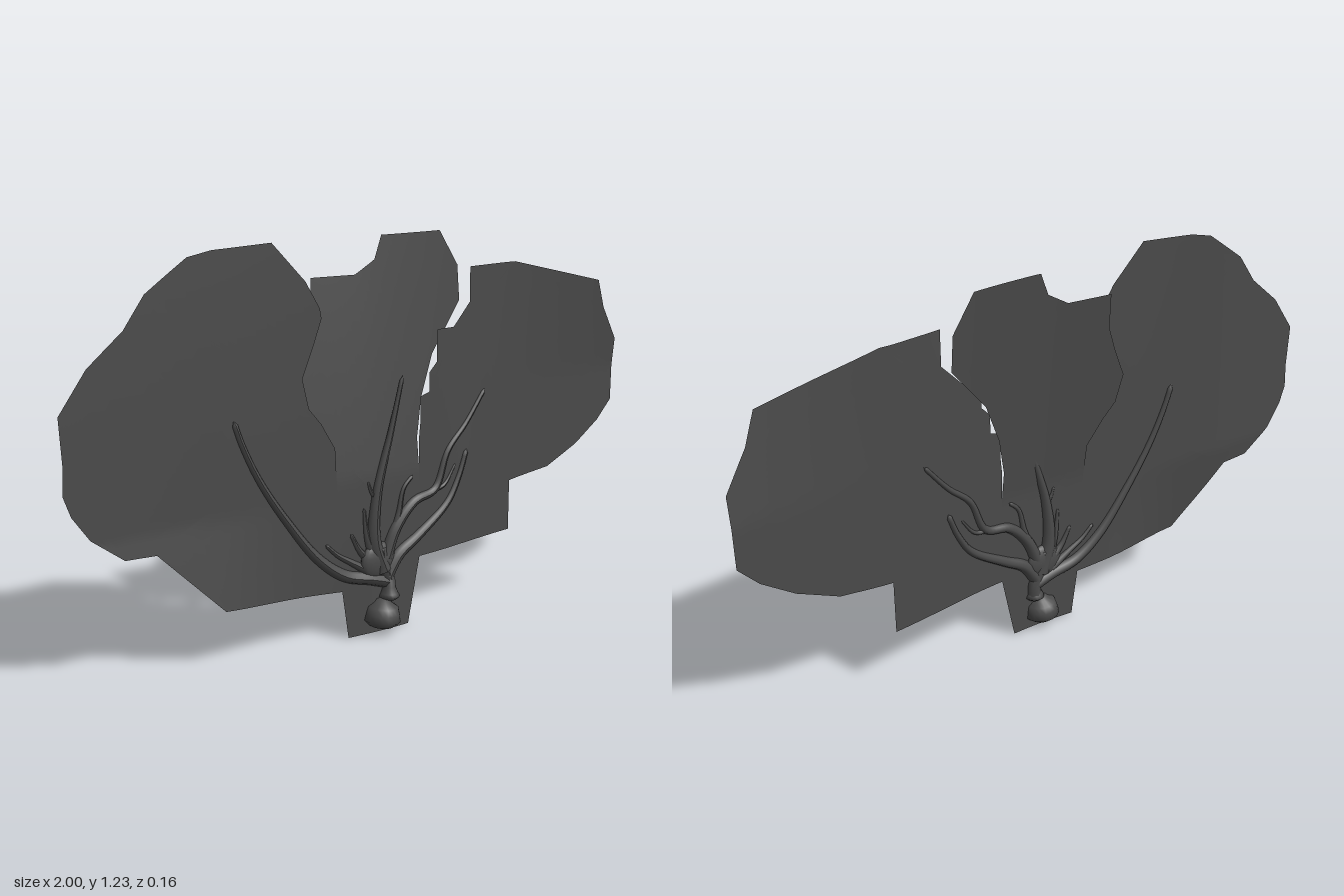
import * as THREE from 'three';
import { mergeVertices } from 'three/addons/utils/BufferGeometryUtils.js';

const material = new THREE.MeshStandardMaterial({ color: 0x4a4a4a, side: THREE.DoubleSide });

// Gentle wave of the fan: depth z at points across its width x
const wave = new THREE.CubicInterpolant(
  new Float32Array([-1.01, -0.7, -0.5, -0.2, 0, 0.2, 0.4, 0.55, 0.75, 1.01]),
  new Float32Array([-0.077, -0.07, -0.045, -0.015, 0.01, 0.012, -0.004, -0.013, -0.006, 0]), 1);

function sheetZ(x, y) {
  // the lower edge of the right lobe and the upper edge of the left lobe swing forward
  const lower = 0.11 * Math.max(0, 0.45 - y) * THREE.MathUtils.smoothstep(-x, 0.25, 0.6);
  const upper = 0.2 * Math.max(0, y - 0.72) * Math.max(0, x - 0.5);
  return wave.evaluate(x)[0] + lower + upper;
}
// The middle lobe leans back behind its neighbours
const middleZ = (x, y) => sheetZ(x, y) - 0.1 * Math.max(0, y - 0.5);

// Flat outline, cut into small triangles and bent by a depth rule
function lobe(name, outline, depth) {
  const shape = new THREE.Shape(outline.map(([x, y]) => new THREE.Vector2(x, y)));
  const flat = new THREE.ShapeGeometry(shape).toNonIndexed().attributes.position;
  const points = [];
  const split = (a, b, c, level) => {
    if (level === 0) {
      for (const p of [a, b, c]) points.push(p.x, p.y, depth(p.x, p.y));
      return;
    }
    const ab = a.clone().lerp(b, 0.5), bc = b.clone().lerp(c, 0.5), ca = c.clone().lerp(a, 0.5);
    split(a, ab, ca, level - 1);
    split(ab, b, bc, level - 1);
    split(ca, bc, c, level - 1);
    split(ab, bc, ca, level - 1);
  };
  const corner = (i) => new THREE.Vector3().fromBufferAttribute(flat, i);
  for (let i = 0; i < flat.count; i += 3) split(corner(i), corner(i + 1), corner(i + 2), 4);
  let geometry = new THREE.BufferGeometry();
  geometry.setAttribute('position', new THREE.Float32BufferAttribute(points, 3));
  geometry = mergeVertices(geometry, 1e-5);
  geometry.computeVertexNormals();
  const mesh = new THREE.Mesh(geometry, material);
  mesh.name = name;
  return mesh;
}

// Tapered tube that follows the fan surface, closed to a point at its tip
function branch(name, path, r0, r1) {
  const curve = new THREE.CatmullRomCurve3(
    path.map(([x, y]) => new THREE.Vector3(x, y, sheetZ(x, y))));
  const steps = path.length * 7, sides = 8;
  const geometry = new THREE.TubeGeometry(curve, steps, 1, sides);
  const pos = geometry.attributes.position;
  const v = new THREE.Vector3();
  for (let i = 0; i <= steps; i++) {
    const t = i / steps;
    const centre = curve.getPointAt(t);
    const r = i === steps ? 0.0005 : r1 + (r0 - r1) * Math.pow(1 - t, 1.6);
    for (let j = 0; j <= sides; j++) {
      const k = i * (sides + 1) + j;
      v.fromBufferAttribute(pos, k).sub(centre).multiplyScalar(r).add(centre);
      pos.setXYZ(k, v.x, v.y, v.z);
    }
  }
  geometry.computeVertexNormals();
  const mesh = new THREE.Mesh(geometry, material);
  mesh.name = name;
  return mesh;
}

export function createModel() {
  const model = new THREE.Group();
  model.name = 'seaFan';

  // Fan lobes
  model.add(lobe('rightLobe', [[-0.15, 0.155], [-0.17, 0.61], [-0.215, 0.69], [-0.255, 0.74],
    [-0.275, 0.83], [-0.235, 0.93], [-0.21, 1], [-0.215, 1.03], [-0.26, 1.11], [-0.365, 1.225],
    [-0.545, 1.215], [-0.615, 1.2], [-0.74, 1.11], [-0.805, 1.02], [-0.915, 0.93], [-1, 0.815],
    [-0.995, 0.68], [-1, 0.6], [-0.98, 0.54], [-0.93, 0.465], [-0.835, 0.39], [-0.74, 0.385],
    [-0.55, 0.185]], sheetZ));
  model.add(lobe('middleLobe', [[-0.13, 0], [0.09, 0], [0.135, 0.215], [0.13, 0.6], [0.155, 0.72],
    [0.21, 0.85], [0.34, 1], [0.34, 1.11], [0.27, 1.22], [0.04, 1.22], [0.01, 1.15],
    [-0.06, 1.11], [-0.205, 1.11], [-0.21, 1], [-0.24, 0.92], [-0.28, 0.83], [-0.26, 0.74],
    [-0.22, 0.69], [-0.17, 0.61], [-0.15, 0.155]], middleZ));
  model.add(lobe('leftLobe', [[0.135, 0.215], [0.54, 0.215], [0.54, 0.385], [0.71, 0.405],
    [0.84, 0.465], [0.94, 0.535], [1, 0.6], [1, 0.815], [0.93, 0.93], [0.895, 1.025],
    [0.54, 1.11], [0.34, 1.11], [0.34, 1], [0.27, 0.93], [0.2, 0.93], [0.2, 0.83],
    [0.17, 0.8], [0.17, 0.74], [0.135, 0.73], [0.135, 0.65], [0.13, 0.6]], sheetZ));

  // Lumpy holdfast and the collar above it
  const turned = (name, profile, x, squash, lean) => {
    const points = profile.map(([r, y]) => new THREE.Vector2(r, y));
    const mesh = new THREE.Mesh(new THREE.LatheGeometry(points, 18), material);
    mesh.name = name;
    mesh.scale.x = squash;
    mesh.rotation.z = lean;
    mesh.position.set(x, 0, 0.017);
    model.add(mesh);
  };
  turned('holdfast', [[0, 0.022], [0.042, 0.024], [0.063, 0.042], [0.058, 0.065], [0.052, 0.086],
    [0.03, 0.098], [0.022, 0.108], [0, 0.115]], -0.023, 0.92, -0.1);
  turned('collar', [[0, 0.095], [0.024, 0.104], [0.037, 0.115], [0.031, 0.125], [0.022, 0.145],
    [0.016, 0.17], [0, 0.2]], 0.01, 0.9, 0);

  // Web of flesh where the branches meet
  const web = new THREE.Mesh(new THREE.SphereGeometry(1, 18, 12), material);
  web.name = 'branchWeb';
  web.scale.set(0.065, 0.06, 0.022);
  web.position.set(-0.025, 0.235, 0.008);
  model.add(web);

  // Branches: path across the fan, base radius, tip radius
  const branches = [
    ['trunk', [[0.012, 0.11], [0.012, 0.16], [-0.01, 0.22], [-0.02, 0.28]], 0.025, 0.02],
    ['longRightBranch', [[0.012, 0.16], [-0.05, 0.18], [-0.14, 0.205], [-0.23, 0.275],
      [-0.34, 0.42], [-0.42, 0.55], [-0.47, 0.66], [-0.495, 0.735]], 0.023, 0.009],
    ['middleBranch', [[-0.01, 0.2], [-0.04, 0.3], [-0.03, 0.45], [0.02, 0.63], [0.065, 0.805]], 0.028, 0.007],
    ['lowerLeftBranch', [[0.005, 0.18], [0.05, 0.24], [0.125, 0.285], [0.25, 0.37], [0.3, 0.445],
      [0.335, 0.53]], 0.023, 0.009],
    ['upperLeftBranch', [[0, 0.24], [0.04, 0.33], [0.11, 0.4], [0.195, 0.425], [0.25, 0.54],
      [0.33, 0.615], [0.415, 0.715]], 0.022, 0.007],
    ['leftTwig', [[0.02, 0.28], [0.05, 0.37], [0.07, 0.45], [0.105, 0.485]], 0.016, 0.006],
    ['crookTwig', [[0.18, 0.42], [0.235, 0.43], [0.285, 0.49]], 0.009, 0.004],
    ['middleTwig', [[-0.03, 0.43], [-0.05, 0.46], [-0.06, 0.49]], 0.01, 0.004],
    ['upperRightTwig', [[-0.04, 0.24], [-0.065, 0.32], [-0.075, 0.41]], 0.02, 0.005],
    ['innerRightTwig', [[-0.03, 0.22], [-0.085, 0.27], [-0.12, 0.335]], 0.02, 0.006],
    ['outerRightTwig', [[-0.05, 0.2], [-0.12, 0.245], [-0.165, 0.275], [-0.205, 0.315]], 0.016, 0.006],
  ];
  for (const b of branches) model.add(branch(...b));
  return model;
}
